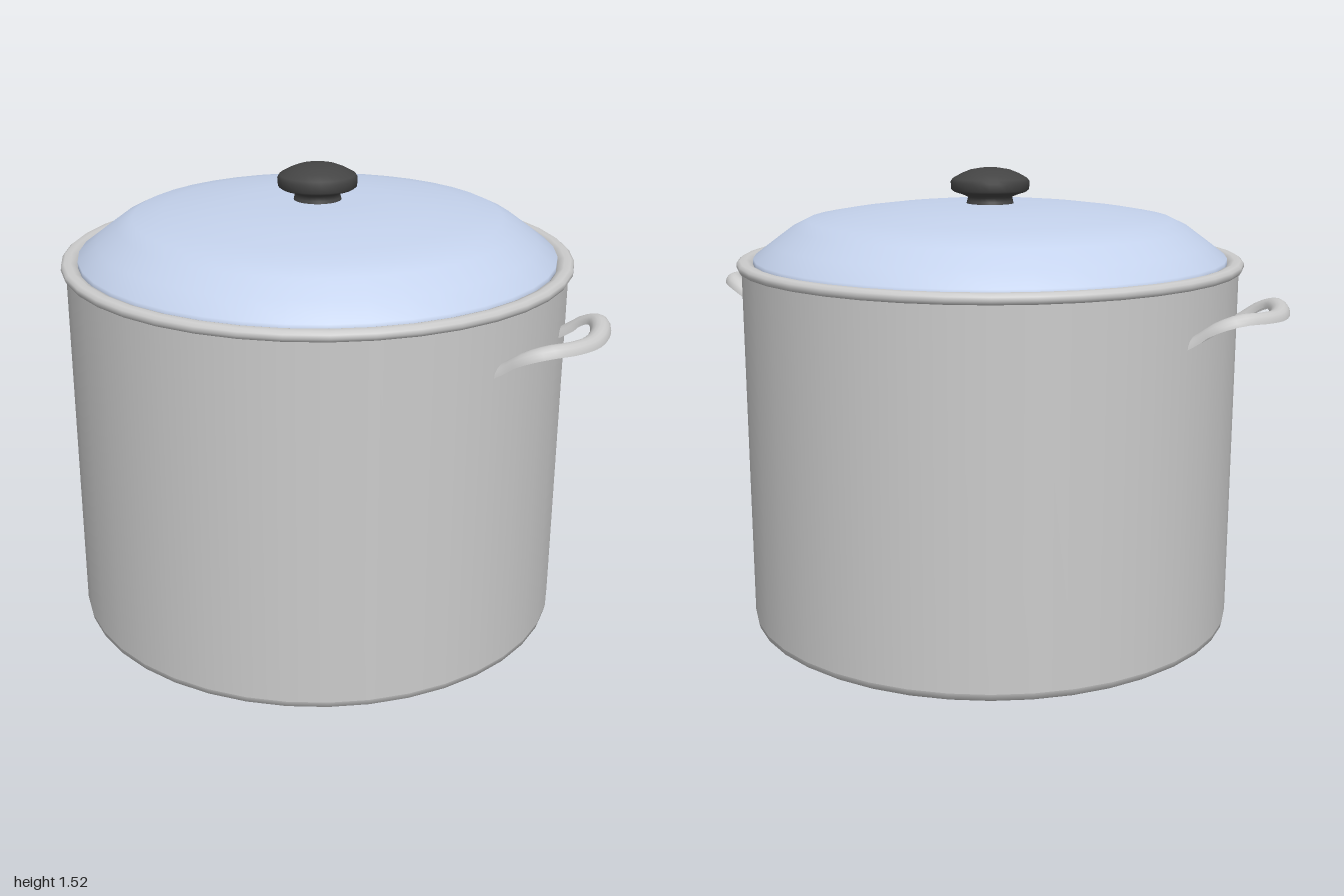
import * as THREE from 'three';

const SEGMENTS = 40;

function material(color) {
  return new THREE.MeshStandardMaterial({ color, side: THREE.DoubleSide });
}

// Turned part from [radius, height] pairs, listed bottom to top
function turned(name, profile, mat, segments = SEGMENTS) {
  const points = profile.map(([r, y]) => new THREE.Vector2(r, y));
  const mesh = new THREE.Mesh(new THREE.LatheGeometry(points, segments), mat);
  mesh.name = name;
  return mesh;
}

// Arched channel, open underneath, swept along a loop on the +x side
function handleGeometry() {
  const half = [
    [0.77, 1.02, 0.2], [0.81, 1.045, 0.2], [0.86, 1.08, 0.2],
    [0.91, 1.1, 0.175], [0.95, 1.098, 0.105],
  ];
  const mirrored = half.map(([x, y, z]) => [x, y, -z]).reverse();
  const path = new THREE.CatmullRomCurve3(
    [...half, [0.968, 1.093, 0], ...mirrored].map((p) => new THREE.Vector3(...p)));
  const steps = 28, sides = 8, positions = [], indices = [];
  for (let i = 0; i <= steps; i++) {
    const p = path.getPointAt(i / steps);
    const t = path.getTangentAt(i / steps);
    const out = new THREE.Vector3(-t.z, 0, t.x).normalize();
    const up = new THREE.Vector3().crossVectors(t, out).normalize();
    if (up.y < 0) up.negate();
    // The feet are a little wider than the grip
    const width = 0.031 + 0.008 * Math.pow(Math.abs(2 * i / steps - 1), 4);
    for (let j = 0; j <= sides; j++) {
      const a = Math.PI * j / sides;
      const v = p.clone()
        .addScaledVector(out, Math.cos(a) * width)
        .addScaledVector(up, Math.sin(a) * 0.03);
      positions.push(v.x, v.y, v.z);
      if (i < steps && j < sides) {
        const k = i * (sides + 1) + j, n = k + sides + 1;
        indices.push(k, k + 1, n, k + 1, n + 1, n);
      }
    }
  }
  const geometry = new THREE.BufferGeometry();
  geometry.setAttribute('position', new THREE.Float32BufferAttribute(positions, 3));
  geometry.setIndex(indices);
  // Face the arch upwards
  geometry.computeVertexNormals();
  const top = Math.floor(steps / 2) * (sides + 1) + sides / 2;
  if (geometry.attributes.normal.getY(top) < 0) {
    geometry.setIndex(indices.reverse());
    geometry.computeVertexNormals();
  }
  return geometry;
}

export function createModel() {
  const group = new THREE.Group();
  const steel = material(0xcccccc);
  const lidBlue = material(0xc4d2ec);
  const black = material(0x444444);

  // Pot: flat base with a small bevel, straight wall, rolled rim
  group.add(turned('base', [
    [0, 0], [0.7, 0], [0.75, 0.003], [0.785, 0.011], [0.802, 0.022], [0.806, 0.04],
  ], steel));
  group.add(turned('wall', [[0.806, 0.04], [0.81, 1.2]], steel));
  group.add(turned('rim', [
    [0.808, 1.197], [0.82, 1.2], [0.826, 1.21], [0.825, 1.222], [0.815, 1.23],
    [0.795, 1.231], [0.78, 1.226], [0.77, 1.21],
  ], steel));

  // Domed lid with a flat crown
  group.add(turned('lid', [
    [0.772, 1.215], [0.772, 1.235], [0.71, 1.282], [0.645, 1.33], [0.595, 1.354],
    [0.5, 1.371], [0.38, 1.387], [0.25, 1.4], [0.12, 1.402], [0, 1.402],
  ], lidBlue));

  // Knob: flared foot, neck and rounded cap
  group.add(turned('knob', [
    [0.078, 1.398], [0.075, 1.41], [0.072, 1.423], [0.09, 1.431], [0.118, 1.44],
    [0.127, 1.447], [0.129, 1.472], [0.122, 1.483], [0.095, 1.498], [0.065, 1.51],
    [0.03, 1.516], [0, 1.517],
  ], black, 28));

  // Side handles
  const geometry = handleGeometry();
  for (const [name, turn] of [['leftHandle', 0], ['rightHandle', Math.PI]]) {
    const handle = new THREE.Mesh(geometry, steel);
    handle.name = name;
    handle.rotation.y = turn;
    group.add(handle);
  }
  return group;
}
